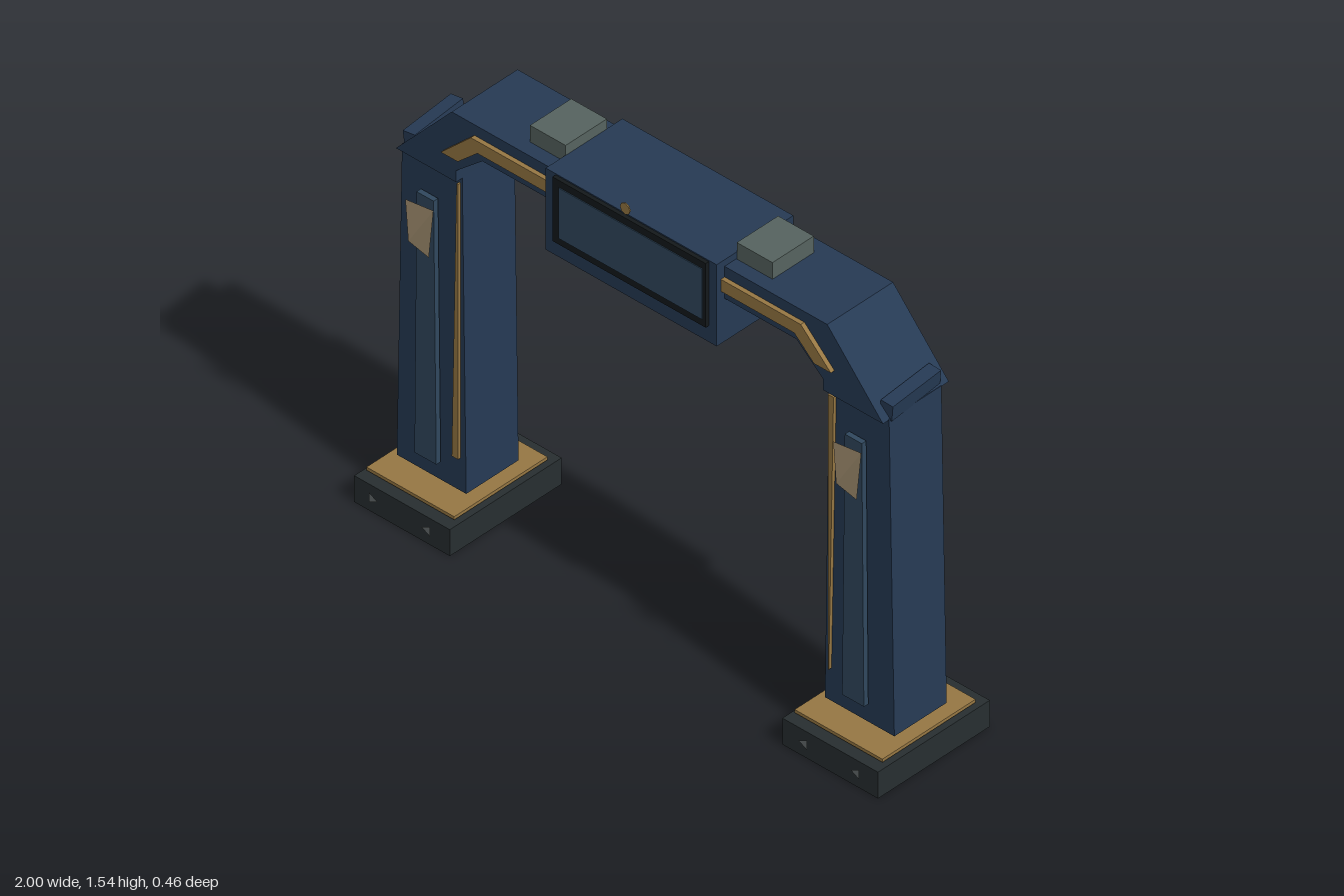
import * as THREE from 'three';

const paint = (color, side = THREE.FrontSide) =>
  new THREE.MeshStandardMaterial({ color, side, flatShading: true });

const navy = paint(0x263a54);
const panelBlue = paint(0x30485e);
const black = paint(0x14191b);
const charcoal = paint(0x272e30);
const gold = paint(0x967743);
const slate = paint(0x56635f);
const tan = paint(0xa89474, THREE.DoubleSide);
const markGrey = paint(0x666d6e, THREE.DoubleSide);

export function createModel() {
  const gate = new THREE.Group();
  gate.name = 'archGate';

  const add = (parent, name, geometry, material) => {
    const mesh = new THREE.Mesh(geometry, material);
    mesh.name = name;
    parent.add(mesh);
    return mesh;
  };

  // Box given by its limits on each axis
  const block = (parent, name, [x0, x1], [y0, y1], [z0, z1], material) => {
    const mesh = add(parent, name, new THREE.BoxGeometry(Math.abs(x1 - x0), y1 - y0, z1 - z0), material);
    mesh.position.set((x0 + x1) / 2, (y0 + y1) / 2, (z0 + z1) / 2);
    return mesh;
  };

  // Front outline extruded from z0 to z1
  const slab = (parent, name, points, z0, z1, material) => {
    const shape = new THREE.Shape(points.map(([x, y]) => new THREE.Vector2(x, y)));
    const geometry = new THREE.ExtrudeGeometry(shape, { depth: z1 - z0, bevelEnabled: false });
    geometry.translate(0, 0, z0);
    return add(parent, name, geometry, material);
  };

  // Beam across the top with sloping shoulders
  const half = [[0.6, 1.345], [0.7, 1.26], [0.7, 1.22], [0.93, 1.22], [0.717, 1.457]];
  const mirrored = half.map(([x, y]) => [-x, y]).reverse();
  slab(gate, 'archBeam', [...half, ...mirrored], -0.14, 0.128, navy);

  // Central sign housing with its screen
  block(gate, 'signHousing', [-0.328, 0.325], [1.195, 1.48], [-0.152, 0.16], navy);
  block(gate, 'screenFrame', [-0.29, 0.295], [1.252, 1.476], [0.16, 0.173], black);
  block(gate, 'screen', [-0.265, 0.283], [1.276, 1.452], [0.168, 0.176], panelBlue);

  // Small disc floating above the screen
  const disc = add(gate, 'discOrnament', new THREE.CylinderGeometry(0.019, 0.019, 0.004, 8), gold);
  disc.rotation.x = Math.PI / 2;
  disc.position.set(-0.004, 1.518, 0.181);

  for (const s of [-1, 1]) {
    const side = new THREE.Group();
    side.name = s > 0 ? 'leftSide' : 'rightSide';
    gate.add(side);
    const flip = (points) => points.map(([x, y]) => [s * x, y]);

    // Foot and its trim plate
    block(side, 'foot', [s * 0.635, s], [0, 0.092], [-0.232, 0.223], charcoal);
    block(side, 'footTrim', [s * 0.65, s * 0.985], [0.1, 0.111], [-0.19, 0.189], gold);

    // Tapered leg
    slab(side, 'leg', flip([[0.685, 0.125], [0.95, 0.125], [0.93, 1.222], [0.7, 1.222]]), -0.11, 0.103, navy);

    // Tilted flange on the outer shoulder
    const flange = block(side, 'shoulderFlange', [s * 0.888, s * 0.932], [1.22, 1.274], [-0.11, 0.1], navy);
    flange.rotation.set(0.03, 0.06, s * -0.1);

    // Inlays on the front of the leg
    slab(side, 'legPanel', flip([[0.775, 0.195], [0.858, 0.195], [0.85, 1.11], [0.785, 1.11]]), 0.111, 0.129, panelBlue);
    const [low, high] = s < 0 ? [0.024, 0.006] : [0.004, 0.022];
    slab(side, 'legStrip', flip([[0.706, 0.24], [0.706 + low, 0.24], [0.706 + high, 1.2], [0.706, 1.2]]), 0.1, 0.114, gold);

    // Twisted plate in front of the leg
    const plate = new THREE.PlaneGeometry(0.094, 0.153);
    [0.16, 0.146, 0.148, 0.165].forEach((z, i) => plate.attributes.position.setZ(i, z));
    plate.computeVertexNormals();
    add(side, 'legPlate', plate, tan).position.set(s * 0.817, 1.017, 0);

    // Bent trim along the beam
    slab(side, 'beamTrim', flip([[0.32, 1.42], [0.63, 1.42], [0.745, 1.31], [0.68, 1.31], [0.605, 1.378], [0.32, 1.378]]), 0.125, 0.143, gold);

    // Block on top of the beam
    block(side, 'roofBlock', [s * 0.327, s * 0.463], [1.45, 1.515], [-0.088, 0.08], slate);

    // Arrow marks in front of the foot
    for (const x of [0.72, 0.92]) {
      const dir = s < 0 && x > 0.8 ? 1 : -1;
      const arrow = new THREE.Shape([[-0.016, 0.017], [-0.016, -0.017], [0.016, 0]]
        .map(([px, py]) => new THREE.Vector2(px * dir, py)));
      add(side, 'arrowMark', new THREE.ShapeGeometry(arrow), markGrey).position.set(s * x, 0.054, 0.231);
    }
  }
  return gate;
}
